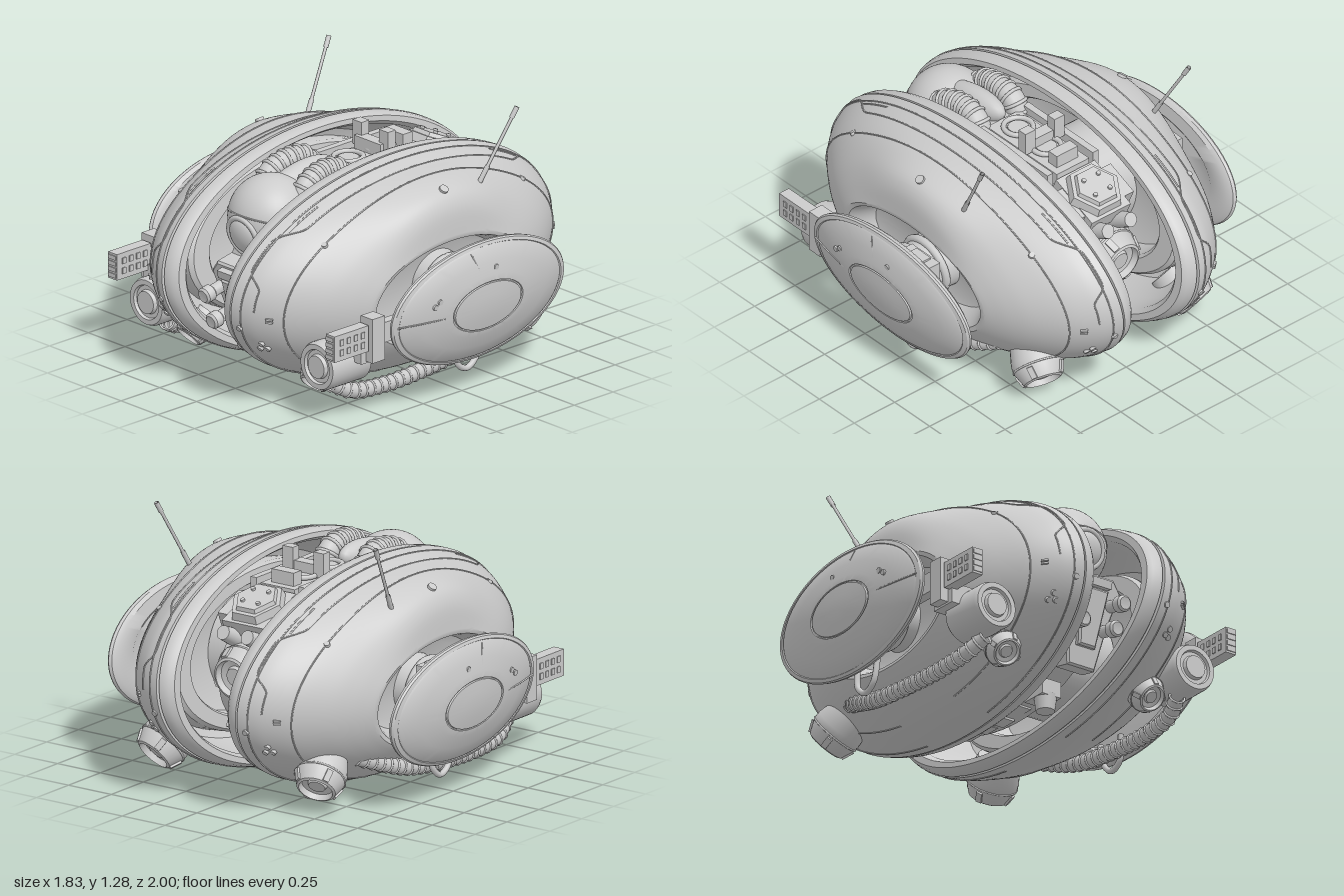
import * as THREE from 'three';
import { toCreasedNormals } from 'three/addons/utils/BufferGeometryUtils.js';

const grey = new THREE.MeshStandardMaterial({ color: 0xcccccc, side: THREE.DoubleSide });
const V = (x, y, z) => new THREE.Vector3(x, y, z);
const H = 0.535; // vertical squash of the shells

function add(parent, name, geo, pos = [0, 0, 0], rot = [0, 0, 0]) {
  const m = new THREE.Mesh(geo, grey);
  m.name = name;
  m.position.set(...pos);
  m.rotation.set(...rot);
  parent.add(m);
  return m;
}
const box = (w, h, d) => new THREE.BoxGeometry(w, h, d);
const cyl = (a, b, h, n = 28) => new THREE.CylinderGeometry(a, b, h, n);
const ring = (r, t, n = 32) => new THREE.TorusGeometry(r, t, 8, n);
const tube = (pts, r, n = 40) => new THREE.TubeGeometry(new THREE.CatmullRomCurve3(pts), n, r, 8);
const lathe = (pts, n = 28) =>
  toCreasedNormals(new THREE.LatheGeometry(pts.map(p => new THREE.Vector2(...p)), n), 0.6);

// Lathe about x: points are [u along x, radius]; move(u, r, phi) gives the final radius
function latheX(pts, sy, sz, n, move = (u, r) => r) {
  const g = new THREE.LatheGeometry(pts.map(([u, r]) => new THREE.Vector2(r, u)), n);
  const p = g.attributes.position;
  for (let i = 0; i < p.count; i++) {
    const u = p.getY(i), phi = Math.atan2(p.getX(i), p.getZ(i));
    const r = move(u, Math.hypot(p.getX(i), p.getZ(i)), phi);
    p.setXYZ(i, u, r * Math.cos(phi) * sy, r * Math.sin(phi) * sz);
  }
  return toCreasedNormals(g, 0.6);
}

function interp(list, u) {
  for (let i = 1; i < list.length; i++) {
    const [a, ra] = list[i - 1], [b, rb] = list[i];
    if (u <= b) return ra + (rb - ra) * Math.max(0, (u - a) / (b - a));
  }
  return list[list.length - 1][1];
}

// Shell cross-section, and the fuller section of the shoulder at its top
const spline = pts => new THREE.SplineCurve(pts.map(p => new THREE.Vector2(...p))).getPoints(36).map(p => [p.x, p.y]);
const outer = spline([[.08, 1], [.13, .985], [.2, .95], [.3, .865], [.4, .735], [.46, .63], [.5, .54], [.515, .5]]);
const shoulder = spline([[.2, .95], [.3, .945], [.37, .925], [.43, .885], [.468, .82], [.495, .71], [.515, .5]]);
const bulge = (u, r, phi) => r < interp(outer, u) - .03 ? r
  : r + Math.max(0, interp(shoulder, u) - r) * Math.exp(-Math.pow(phi / .5, 2));
function onShell(u, phi) {
  const r = bulge(u, interp(outer, u), phi) + .002;
  return V(u, r * Math.cos(phi) * H, r * Math.sin(phi));
}

// Ribbed hose along a path
function hose(parent, name, pts, r, ribs) {
  const c = new THREE.CatmullRomCurve3(pts), g = new THREE.Group();
  g.name = name;
  add(g, 'hoseCore', new THREE.TubeGeometry(c, 48, r, 12));
  for (let i = 0; i <= ribs; i++) {
    const m = add(g, 'hoseRib', ring(r, r * .15, 16), c.getPointAt(i / ribs).toArray());
    m.quaternion.setFromUnitVectors(V(0, 0, 1), c.getTangentAt(i / ribs));
  }
  parent.add(g);
}

// Bell-shaped thruster pointing along dir
function thruster(parent, name, pos, dir, s) {
  const g = new THREE.Group();
  g.name = name;
  add(g, 'bell', lathe([[0, -1.2], [.85, -1.2], [1.05, -.4], [1.05, -.1], [.8, .5], [.7, .55], [.64, .3], [.4, .25], [.34, .38], [0, .38]]));
  add(g, 'bellBand', ring(1.04, .04), [0, -.1, 0], [Math.PI / 2, 0, 0]);
  for (let i = 0; i < 4; i++) {
    const a = i * Math.PI / 2 + .4;
    add(g, 'bellClamp', box(.25, .5, .16), [Math.sin(a) * .9, .24, Math.cos(a) * .9], [-.4, a, 0, 'YXZ']);
  }
  g.position.set(...pos);
  g.quaternion.setFromUnitVectors(V(0, 1, 0), V(...dir).normalize());
  g.scale.setScalar(s);
  parent.add(g);
}

function makeSide() {
  const side = new THREE.Group();
  const pod = new THREE.Group(); // tilted so the top leans outward
  pod.name = 'shellPod';
  pod.position.set(.155, .545, 0);
  pod.rotation.z = -.108;
  side.add(pod);

  // Hollow shell with a banded rim and a wide recess behind the disc
  add(pod, 'shell', latheX([[.34, 0], [.33, .6], [.27, .78], [.15, .87], [.03, .89], [0, .92], [0, .965], [.02, .985], [.05, .995],
    [.068, .996], [.07, .978], [.078, .978], ...outer, [.51, .47], [.47, .44], [.4, .4], [.385, .34], [.38, 0]], H, 1, 128, bulge));
  add(pod, 'innerRing', latheX([[.33, .56], [.2, .58], [.18, .6], [.18, .7], [.2, .72], [.3, .72]], H, 1, 64));

  // Panel seams: full hoops and a jogged line at front and back
  const seam = (pts, r = .0035, n = 80) => add(pod, 'panelSeam', tube(pts, r, n));
  for (const u of [.13, .3]) {
    const pts = [];
    for (let i = 0; i <= 60; i++) pts.push(onShell(u, -2.9 + i * 5.8 / 60));
    seam(pts, .0035, 180);
  }
  for (const s of [1, -1]) {
    const jog = [];
    for (let i = 0; i <= 30; i++) {
      const p = i * 1.55 / 30;
      jog.push(onShell(.2 - .08 * THREE.MathUtils.smoothstep(p, .75, .95) + .07 * THREE.MathUtils.smoothstep(p, 1.2, 1.35), s * p));
    }
    seam(jog);
    seam([.6, .68, .76, .84].map(p => onShell(.15, s * p)), .004, 16);
    // Rivets and vents
    for (const [u, p] of [[.3, .82], [.2, 1.9], [.215, 1.96], [.185, 1.96], [.12, 1.75]]) {
      const q = onShell(u, s * p);
      const m = add(pod, 'rivet', cyl(.014, .016, .014, 14), q.toArray());
      m.quaternion.setFromUnitVectors(V(0, 1, 0), V(u * .8, q.y / H / H, q.z).normalize());
    }
    for (const d of [0, .03]) add(pod, 'vent', box(.035, .009, .02), onShell(.25, s * (1.6 + d)).toArray(), [0, s * .7, 0]);
  }
  add(pod, 'shoulderStud', cyl(.022, .022, .02, 18), onShell(.42, 0).toArray(), [0, 0, -.5]);

  // Elliptical side disc on its pivot
  const disc = add(pod, 'sideDisc', latheX([[.63, 0], [.635, .5], [.64, .7], [.63, .74], [.635, .94], [.65, .99], [.665, 1], [.675, .985],
    [.682, .94], [.678, .93], [.685, .91], [.712, .7], [.732, .5], [.738, .405], [.732, .4], [.732, .385], [.74, .38], [.748, .2], [.75, 0]], .305, .555, 96));
  disc.position.set(.008, 0, -.03);
  add(pod, 'pivot', cyl(.11, .15, .28), [.51, 0, -.03], [0, 0, -Math.PI / 2]);
  for (const u of [.46, .54]) add(pod, 'pivotRing', ring(.14, .02), [u, 0, -.03], [0, Math.PI / 2, 0]);
  add(pod, 'discSeam', tube([V(.69, 0, .5), V(.718, 0, .37), V(.738, 0, .24)], .004, 12));
  add(pod, 'discSeam', tube([V(.694, .27, .06), V(.72, .2, .03), V(.735, .15, .02)], .004, 12));
  for (const [y, z] of [[.18, -.08], [.07, .3], [.09, .27]]) add(pod, 'discStud', cyl(.014, .014, .02, 14), [.724, y, z], [0, 0, -Math.PI / 2]);

  // Weapon arm, launcher block and round pod
  add(side, 'armBlock', box(.08, .32, .2), [.75, .51, -.14]);
  add(side, 'armBlockCap', box(.05, .06, .1), [.75, .65, -.14]);
  add(side, 'arm', box(.05, .1, .6), [.75, .44, .24]);
  add(side, 'armSleeve', box(.07, .17, .25), [.775, .45, .22], [0, -.06, 0]);
  add(side, 'armBracket', box(.08, .22, .08), [.745, .42, .57]);
  add(side, 'launcher', box(.06, .13, .22), [.74, .435, .73]);
  for (let i = 0; i < 4; i++) for (const y of [.41, .46]) {
    add(side, 'launcherFin', box(.07, .03, .022), [.74, y, .66 + i * .045]);
  }
  for (let i = 0; i < 4; i++) add(side, 'launcherTube', box(.05, .02, .02), [.74, .39 + i * .03, .835]);
  add(side, 'roundPod', lathe([[0, -.26], [.1, -.26], [.118, -.24], [.118, -.02], [.11, 0], [.085, 0], [.08, -.015], [.06, -.015], [.055, .005], [0, .005]], 40),
    [.58, .28, .775], [Math.PI / 2, 0, 0]);
  add(side, 'podMount', box(.16, .1, .14), [.66, .35, .57]);

  // Thrusters, hose, handle and antenna
  thruster(side, 'frontThruster', [.42, .15, .62], [.1, -.65, .7], .085);
  thruster(side, 'rearThruster', [.46, .17, -.66], [.2, -.55, -.65], .118);
  hose(side, 'sideHose', [V(.56, .16, .66), V(.59, .11, .56), V(.6, .09, .35), V(.6, .1, .1), V(.59, .13, -.15), V(.55, .2, -.36), V(.5, .25, -.48)], .037, 26);
  add(side, 'handle', tube([V(.71, .25, .02), V(.72, .13, 0), V(.72, .095, -.06), V(.72, .14, -.12), V(.71, .25, -.14)], .015));
  const base = V(.585, .92, -.26), tip = V(.64, 1.275, -.46);
  add(side, 'antenna', tube([base, tip], .008, 4));
  add(side, 'antennaBase', tube([base, base.clone().lerp(tip, .25)], .012, 4));
  add(side, 'antennaTip', tube([base.clone().lerp(tip, .86), tip], .012, 4));
  return side;
}

function makeCore() {
  const core = new THREE.Group();
  core.name = 'core';
  // Central spine and axle
  const oval = new THREE.Shape();
  oval.absellipse(0, 0, .65, .38, 0, Math.PI * 2);
  const spine = new THREE.ExtrudeGeometry(oval, { depth: .22, bevelSize: .02, bevelThickness: .02, bevelSegments: 2, curveSegments: 32 });
  spine.translate(0, 0, -.11);
  add(core, 'spine', toCreasedNormals(spine, .5), [0, .55, 0], [0, Math.PI / 2, 0]);
  add(core, 'axle', cyl(.26, .26, .98, 40), [0, .5, 0], [0, 0, Math.PI / 2]);

  // Round head with lens and swept crest
  add(core, 'head', new THREE.SphereGeometry(.205, 40, 28), [0, .81, .52]);
  add(core, 'headSeam', ring(.205, .004, 48), [0, .81, .52], [Math.PI / 2 - .25, 0, 0]);
  add(core, 'crest', new THREE.SphereGeometry(1, 24, 18), [0, .94, .35], [.2, 0, 0]).scale.set(.072, .085, .23);
  add(core, 'lensRim', ring(.093, .014), [0, .755, .7], [.2, 0, 0]);
  add(core, 'lens', new THREE.SphereGeometry(.09, 28, 18), [0, .755, .69], [.2, 0, 0]).scale.z = .5;

  // Tapered face plate with four knobs
  const plate = (pts, d) => {
    const g = new THREE.ExtrudeGeometry(new THREE.Shape(pts.map(p => new THREE.Vector2(...p))), { depth: d, bevelSize: .01, bevelThickness: .01, bevelSegments: 1 });
    return toCreasedNormals(g, .3);
  };
  const face = new THREE.Group();
  face.name = 'facePlate';
  face.position.set(0, .45, .62);
  face.rotation.x = .2;
  core.add(face);
  add(face, 'plate', plate([[-.07, -.27], [.07, -.27], [.11, -.06], [.16, .12], [.12, .17], [-.12, .17], [-.16, .12], [-.11, -.06]], .09));
  add(face, 'plateInset', plate([[-.04, -.17], [.04, -.17], [.075, .1], [-.075, .1]], .04), [0, 0, .08]);
  add(face, 'plateBrow', box(.18, .04, .05), [0, .14, .11]);
  for (const s of [1, -1]) for (const [x, y] of [[.12, .05], [.095, -.08]]) {
    add(face, 'knob', lathe([[0, 0], [.03, 0], [.03, .1], [.04, .11], [.04, .15], [.03, .16], [0, .155]], 20), [s * x, y, .06], [Math.PI / 2, 0, 0]);
  }
  add(core, 'chinBlock', box(.11, .08, .14), [0, .14, .36]);
  add(core, 'chinNozzle', cyl(.055, .045, .08, 20), [0, .075, .38]);

  // Top deck with rails, sockets and cross blocks
  add(core, 'topDeck', box(.2, .08, .5), [0, .92, -.12]);
  for (const s of [1, -1]) {
    add(core, 'deckRail', box(.035, .08, .5), [s * .14, .94, -.12]);
    for (let i = 0; i < 6; i++) add(core, 'railNotch', box(.03, .05, .045), [s * .155, .93, -.33 + i * .085]);
    add(core, 'deckLug', box(.06, .12, .05), [s * .09, 1.03, -.145]);
    hose(core, 'headHose', [V(s * .12, .86, .13), V(s * .115, .98, .19), V(s * .115, 1, .3), V(s * .125, .96, .41), V(s * .12, .88, .46)], .056, 12);
    add(core, 'rearPipe', cyl(.035, .045, .14, 18), [s * .07, .77, -.64], [-1.1, 0, 0]);
  }
  for (const z of [.02, -.18]) {
    add(core, 'socketRim', ring(.07, .013), [0, .975, z], [Math.PI / 2, 0, 0]);
    add(core, 'socket', cyl(.05, .06, .04), [0, .955, z]);
  }
  for (const [z, w] of [[-.3, .13], [-.13, .18]]) add(core, 'crossBlock', box(w, .08, .06), [0, .985, z]);

  // Hexagonal rear hatch
  const hatch = new THREE.Group();
  hatch.name = 'rearHatch';
  hatch.position.set(0, .88, -.51);
  hatch.rotation.x = -.4;
  core.add(hatch);
  add(hatch, 'hatchHousing', box(.36, .1, .18), [0, -.04, 0]);
  add(hatch, 'hatchFrame', box(.24, .09, .28), [0, -.03, 0]);
  const hex = (r, h, y, n) => add(hatch, n, toCreasedNormals(cyl(r - .012, r, h, 6), .3), [0, y, 0], [0, Math.PI / 6, 0]);
  hex(.145, .05, .03, 'hexBase');
  hex(.115, .03, .06, 'hexPlate');
  for (const x of [-.045, .045]) for (const z of [-.045, .045]) add(hatch, 'hatchBolt', cyl(.011, .011, .012, 10), [x, .08, z]);

  // Rear and belly machinery
  thruster(core, 'rearNozzle', [0, .6, -.66], [0, -.1, -1], .13);
  add(core, 'rearBlock', box(.2, .16, .14), [0, .36, -.54], [.5, 0, 0]);
  for (let i = 0; i < 5; i++) add(core, 'bellyBlock', box(.17, .06, .09), [0, .17 + Math.abs(i - 2) * .012, -.28 + i * .13]);
  return core;
}

export function createModel() {
  const model = new THREE.Group();
  model.name = 'twinShellCraft';
  model.add(makeCore());
  for (const s of [1, -1]) {
    const side = makeSide();
    side.name = s > 0 ? 'leftSide' : 'rightSide';
    side.scale.x = s;
    model.add(side);
  }
  return model;
}
